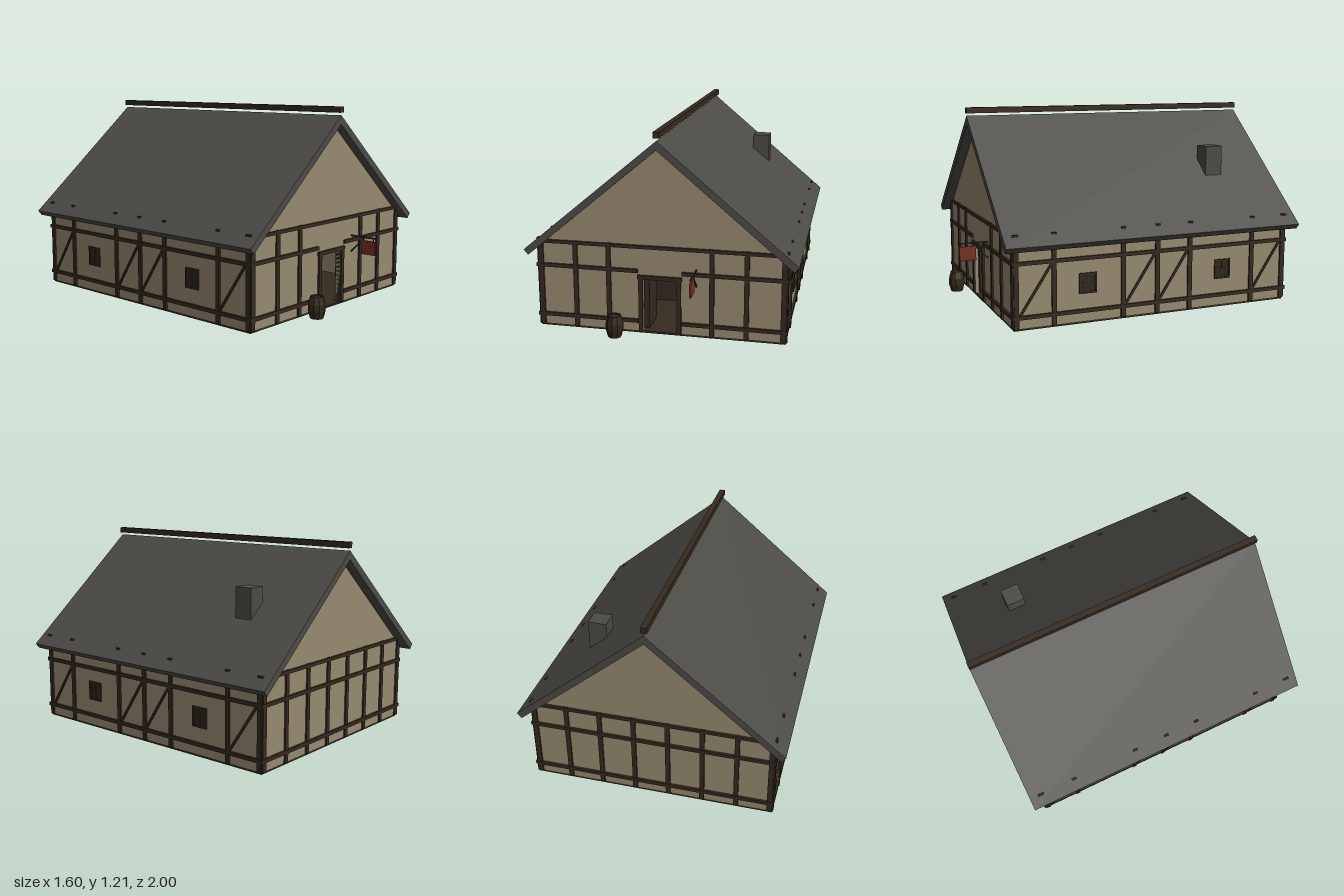
import * as THREE from 'three';

const mat = (name, color) => {
  const m = new THREE.MeshStandardMaterial({ color });
  m.name = name;
  return m;
};

export function createModel() {
  const plaster = mat('plaster', 0x978a70);
  const timber = mat('timber', 0x352a1f);
  const slate = mat('slate', 0x4d4b46);
  const red = mat('redPaint', 0x7a2f24);
  const glass = mat('darkGlass', 0x2e261b);
  const oak = mat('barrelOak', 0x33291b);
  const iron = mat('iron', 0x2c2b29);

  const house = new THREE.Group();
  house.name = 'timberFrameHouse';
  const MID = -0.055, HALF_X = 0.73, HALF_Z = 0.88;

  // Box given by its minimum and maximum corners
  const box = (parent, name, m, x0, x1, y0, y1, z0, z1) => {
    const mesh = new THREE.Mesh(new THREE.BoxGeometry(x1 - x0, y1 - y0, z1 - z0), m);
    mesh.position.set((x0 + x1) / 2, (y0 + y1) / 2, (z0 + z1) / 2);
    mesh.name = name;
    parent.add(mesh);
    return mesh;
  };
  // Bar in a plane of constant x, from (y, z) to (y, z)
  const bar = (parent, name, m, x, w, t, y0, z0, y1, z1) => {
    const mesh = new THREE.Mesh(new THREE.BoxGeometry(w, t, Math.hypot(y1 - y0, z1 - z0)), m);
    mesh.position.set(x, (y0 + y1) / 2, (z0 + z1) / 2);
    mesh.rotation.x = -Math.atan2(y1 - y0, z1 - z0);
    mesh.name = name;
    parent.add(mesh);
  };

  box(house, 'floor', timber, -HALF_X, HALF_X, 0, 0.012, MID - HALF_Z, MID + HALF_Z);

  // Gable walls; the front one has a doorway
  const gable = (name, z, door) => {
    const pts = [[-HALF_X, 0.012], [HALF_X, 0.012], [HALF_X, 0.51], [0, 1.12], [-HALF_X, 0.51]];
    if (door) pts.splice(1, 0, [-0.1, 0.012], [-0.1, 0.335], [0.1, 0.335], [0.1, 0.012]);
    const shape = new THREE.Shape(pts.map(p => new THREE.Vector2(...p)));
    const mesh = new THREE.Mesh(new THREE.ExtrudeGeometry(shape, { depth: 0.03, bevelEnabled: false }), plaster);
    mesh.position.z = z;
    mesh.name = name;
    house.add(mesh);
  };
  gable('frontWall', MID + HALF_Z - 0.03, true);
  gable('backWall', MID - HALF_Z, false);

  // Timber on the gable ends
  const gableFrame = (name, posts, gap) => {
    const g = new THREE.Group();
    g.name = name;
    const z0 = HALF_Z - 0.01, z1 = HALF_Z + 0.01;
    for (const x of posts) box(g, 'post', timber, x - 0.014, x + 0.014, 0.01, 0.54, z0, z1);
    for (const s of [-1, 1]) box(g, 'cornerPost', timber, s * 0.717 - 0.016, s * 0.717 + 0.016, 0.01, 0.545, z0, z1);
    for (const y of [0.075, 0.382]) {
      box(g, 'rail', timber, -0.743, -gap, y - 0.011, y + 0.011, z0, z1 + 0.003);
      box(g, 'rail', timber, gap, 0.743, y - 0.011, y + 0.011, z0, z1 + 0.003);
    }
    box(g, 'topRail', timber, -0.74, 0.74, 0.518, 0.538, z0, z1 + 0.003);
    g.position.z = MID;
    house.add(g);
    return g;
  };
  gableFrame('frontFrame', [-0.505, -0.305, 0.305, 0.505], 0.13);
  gableFrame('backFrame', [-0.515, -0.31, -0.103, 0.103, 0.31, 0.515], 0).rotation.y = Math.PI;

  // Long side: wall, posts, rails, braces and windows; the other side is turned half round
  const longSide = (name) => {
    const g = new THREE.Group();
    g.name = name;
    box(g, 'sideWall', plaster, HALF_X - 0.03, HALF_X, 0.012, 0.5, -HALF_Z + 0.03, HALF_Z - 0.03);
    for (const z of [0.867, 0.645, 0.22, 0, -0.215, -0.645, -0.867])
      box(g, 'sidePost', timber, 0.72, 0.74, 0.01, 0.545, z - 0.014, z + 0.014);
    for (const y of [0.075, 0.382])
      box(g, 'sideRail', timber, 0.72, 0.743, y - 0.011, y + 0.011, -0.893, 0.893);
    for (const [low, high] of [[0.845, 0.655], [0.205, 0.015], [-0.01, -0.2], [-0.655, -0.845]])
      bar(g, 'brace', timber, 0.73, 0.016, 0.014, 0.085, low, 0.372, high);
    for (const z of [0.44, -0.44]) {
      box(g, 'windowPane', glass, 0.729, 0.733, 0.18, 0.29, z - 0.048, z + 0.048);
      for (const s of [-1, 1]) {
        box(g, 'windowFrame', timber, 0.729, 0.738, 0.175, 0.295, z + s * 0.048 - 0.005, z + s * 0.048 + 0.005);
        box(g, 'windowFrame', timber, 0.729, 0.738, 0.23 + s * 0.055, 0.24 + s * 0.055, z - 0.053, z + 0.053);
      }
      box(g, 'windowBar', timber, 0.729, 0.737, 0.18, 0.29, z - 0.004, z + 0.004);
      box(g, 'windowBar', timber, 0.729, 0.737, 0.231, 0.239, z - 0.048, z + 0.048);
    }
    g.position.z = MID;
    house.add(g);
    return g;
  };
  longSide('leftSide');
  longSide('rightSide').rotation.y = Math.PI;

  // Roof slabs with mitred ridge and square-cut eaves
  for (const s of [-1, 1]) {
    const pts = [[0, 1.155], [0.8, 0.485], [0.774, 0.454], [0, 1.103]].map(([x, y]) => new THREE.Vector2(s * x, y));
    const slab = new THREE.Mesh(
      new THREE.ExtrudeGeometry(new THREE.Shape(pts), { depth: 1.885, bevelEnabled: false }), slate);
    slab.position.z = -1;
    slab.name = s > 0 ? 'leftRoof' : 'rightRoof';
    house.add(slab);
  }
  box(house, 'ridgeBeam', timber, -0.018, 0.018, 1.17, 1.205, -1, 0.888);
  box(house, 'chimney', slate, 0.345, 0.457, 0.7, 0.955, -0.64, -0.527);

  // Doorway, open door and interior
  const front = MID + HALF_Z;
  for (const s of [-1, 1])
    box(house, 'doorJamb', timber, s * 0.113 - 0.013, s * 0.113 + 0.013, 0.012, 0.337, front - 0.035, front + 0.012);
  box(house, 'doorLintel', timber, -0.13, 0.13, 0.335, 0.358, front - 0.035, front + 0.015);
  box(house, 'openDoor', timber, -0.1, -0.068, 0.025, 0.325, front - 0.2, front - 0.02);
  box(house, 'counter', timber, -0.3, 0.3, 0.012, 0.18, 0.2, 0.32);
  box(house, 'shelf', timber, -0.3, 0.3, 0.243, 0.255, -0.9, -0.82);
  const mug = new THREE.Mesh(new THREE.CylinderGeometry(0.007, 0.009, 0.038, 8), red);
  mug.position.set(0.022, 0.274, -0.86);
  mug.name = 'jug';
  house.add(mug);

  // Hanging sign on a bracket
  box(house, 'signArm', iron, 0.211, 0.219, 0.405, 0.414, front, 1);
  bar(house, 'signStrut', iron, 0.215, 0.007, 0.007, 0.31, front, 0.408, 0.925);
  for (const z of [0.915, 0.985]) box(house, 'signHook', iron, 0.213, 0.217, 0.385, 0.408, z - 0.002, z + 0.002);
  box(house, 'signBoard', red, 0.21, 0.22, 0.305, 0.39, 0.9, 1);

  // Barrel by the front wall
  const barrel = new THREE.Group();
  barrel.name = 'barrel';
  const profile = [[0, 0], [0.039, 0], [0.051, 0.045], [0.051, 0.085], [0.039, 0.13], [0.034, 0.13], [0.034, 0.122], [0, 0.122]];
  const stavesMat = oak;
  stavesMat.flatShading = true;
  const staves = new THREE.Mesh(new THREE.LatheGeometry(profile.map(p => new THREE.Vector2(...p)), 10), stavesMat);
  staves.name = 'staves';
  barrel.add(staves);
  barrel.position.set(-0.25, 0.003, 0.913);
  house.add(barrel);

  return house;
}
